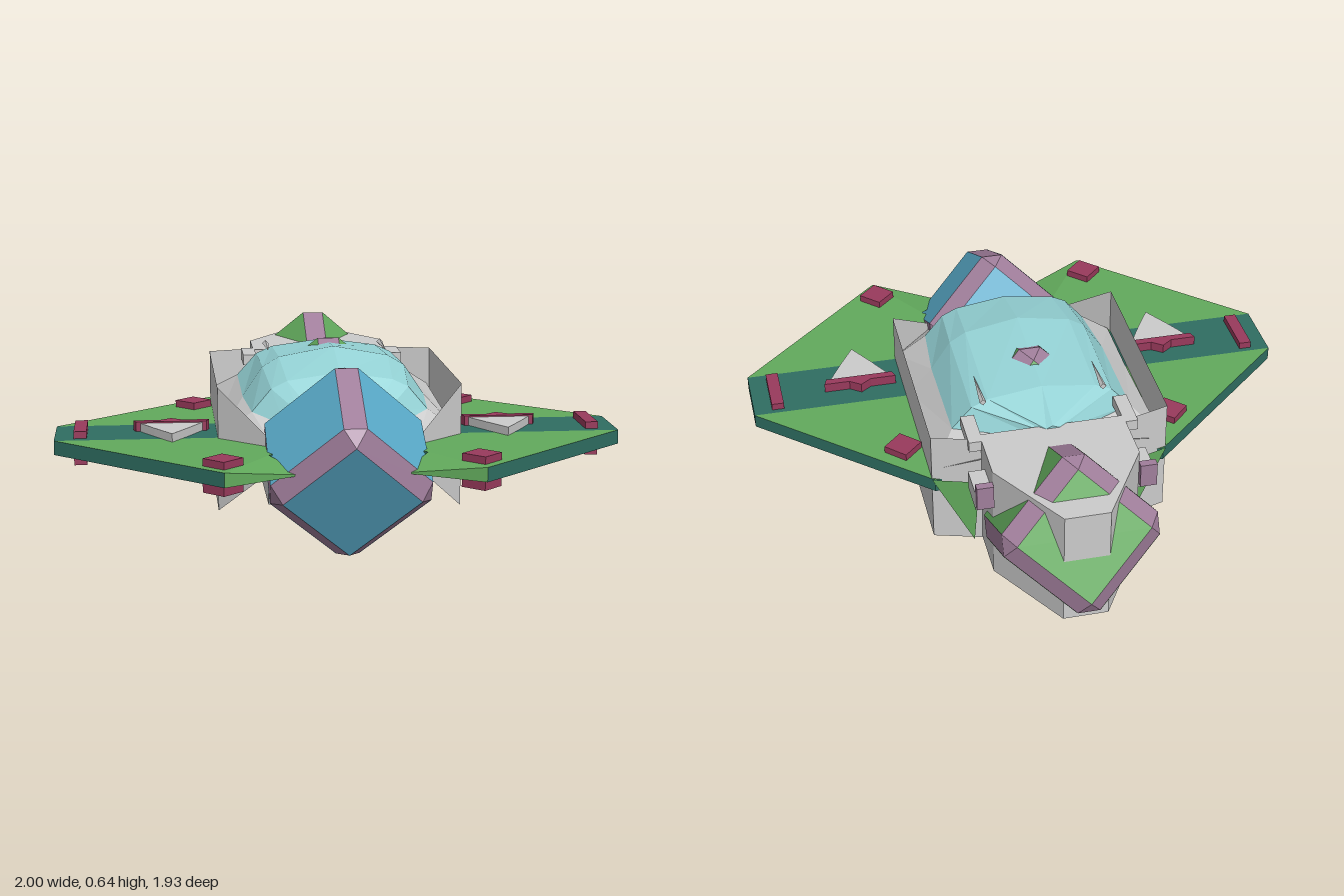
import * as THREE from 'three';
import { ConvexGeometry } from 'three/addons/geometries/ConvexGeometry.js';

const mat = (color) => new THREE.MeshStandardMaterial({ color, flatShading: true, side: THREE.DoubleSide });
const GREY = mat(0xcccccc), GREEN = mat(0x62aa5c), TEAL = mat(0x2f6e62), GLASS = mat(0x95d3d6);
const BLUE = mat(0x5aaccb), MAUVE = mat(0xa07e9b), PAD = mat(0x993a5c);

export function createModel() {
  const model = new THREE.Group();
  const add = (name, geometry, material, parent = model) => {
    const mesh = new THREE.Mesh(geometry, material);
    mesh.name = name;
    parent.add(mesh);
    return mesh;
  };

  // flat polygons, each a list of corners, split into fans
  const panels = (name, material, polys) => {
    const pos = [];
    for (const p of polys)
      for (let i = 1; i < p.length - 1; i++) pos.push(...p[0], ...p[i], ...p[i + 1]);
    const g = new THREE.BufferGeometry();
    g.setAttribute('position', new THREE.Float32BufferAttribute(pos, 3));
    g.computeVertexNormals();
    return add(name, g, material);
  };

  // horizontal slab from an x/z outline
  const slab = (name, outline, y0, y1, material) => {
    const shape = new THREE.Shape(outline.map(([x, z]) => new THREE.Vector2(x, -z)));
    const g = new THREE.ExtrudeGeometry(shape, { depth: y1 - y0, bevelEnabled: false });
    g.rotateX(-Math.PI / 2).translate(0, y0, 0);
    return add(name, g, material);
  };
  // half outline (x > 0) mirrored into a full one
  const mirrored = (half) => [...half, ...half.map(([x, z]) => [-x, z]).reverse()];
  const box = (name, size, at, material) => {
    const m = add(name, new THREE.BoxGeometry(...size), material);
    m.position.set(...at);
    return m;
  };

  // three tilted cubes with chamfered edges
  const crystal = (name, z, faceMaterial) => {
    const h = 0.22, i = h - 0.055, pts = [];
    for (const a of [-1, 1]) for (const b of [-1, 1]) for (const c of [-1, 1])
      for (const [x, y, w] of [[h, i, i], [i, h, i], [i, i, h]])
        pts.push(new THREE.Vector3(a * x, b * y, c * w));
    const g = new THREE.Group();
    g.name = name;
    add('chamferedEdges', new ConvexGeometry(pts), MAUVE, g);
    for (const [rx, ry] of [[0, 0], [0, 1], [0, 2], [0, 3], [1, 0], [-1, 0]]) {
      const face = new THREE.PlaneGeometry(2 * i, 2 * i).translate(0, 0, h + 0.001);
      face.rotateX(rx * Math.PI / 2).rotateY(ry * Math.PI / 2);
      add('crystalFace', face, faceMaterial, g);
    }
    g.position.set(0, 0.32, z);
    g.rotation.set(0.47, 0, Math.PI / 4);
    model.add(g);
  };
  crystal('frontCrystal', 0.66, BLUE);
  crystal('middleCrystal', 0, GREEN);
  crystal('rearCrystal', -0.66, GREEN);

  // wing: green panels either side of a dark band
  slab('rearWing', mirrored([[0.42, -0.36], [1, 0.17]]), 0.31, 0.36, [GREEN, TEAL]);
  slab('wingBand', mirrored([[1, 0.17], [1, 0.42]]), 0.31, 0.36, TEAL);
  slab('frontWing', mirrored([[1, 0.42], [0.43, 0.97], [0.27, 0.72], [0.15, 0.6]]), 0.31, 0.36, [GREEN, TEAL]);

  // tapered keel under the wing
  const R = 0.42;
  panels('keelBand', TEAL, [
    [[-R, 0.19, 0.18], [R, 0.19, 0.18], [R, 0.2, 0.36], [-R, 0.2, 0.36]],
    [[-R, 0.2, 0.36], [R, 0.2, 0.36], [R, 0.31, 0.43], [-R, 0.31, 0.43]],
    ...[1, -1].flatMap((s) => [
      [[s * R, 0.19, 0.18], [s, 0.31, 0.17], [s, 0.31, 0.42], [s * R, 0.2, 0.36]],
      [[s * R, 0.2, 0.36], [s, 0.31, 0.42], [s * R, 0.31, 0.43]],
    ]),
  ]);
  panels('keelRear', GREEN, [
    [[-R, 0.19, 0.18], [R, 0.19, 0.18], [R, 0.31, -0.36], [-R, 0.31, -0.36]],
    ...[1, -1].map((s) => [[s * R, 0.19, 0.18], [s, 0.31, 0.17], [s * R, 0.31, -0.36]]),
  ]);

  // canopy and its skirt, lofted along z: [z, half width, top, base]
  const sections = [
    [-0.39, 0.04, 0.55, 0.5], [-0.22, 0.33, 0.605, 0.47], [0.18, 0.33, 0.64, 0.46],
    [0.42, 0.31, 0.585, 0.45], [0.53, 0.2, 0.5, 0.42],
  ].map(([z, w, top, base]) => {
    const half = [[w, base], [w * 0.78, base + (top - base) * 0.6], [w * 0.6, top - (top - base) * 0.2]];
    return [...half, [0, top], ...half.map(([x, y]) => [-x, y]).reverse()].map(([x, y]) => [x, y, z]);
  });
  const glass = [sections[0], sections[4]];
  for (let k = 0; k < 4; k++)
    for (let j = 0; j < 6; j++)
      glass.push([sections[k][j], sections[k][j + 1], sections[k + 1][j + 1], sections[k + 1][j]]);
  panels('canopy', GLASS, glass);

  const rim = [[0.27, 0.46, -0.41], [R, 0.4, -0.35], [R, 0.37, 0.18], [R, 0.37, 0.43], [0.25, 0.37, 0.6]];
  const skirt = [];
  for (const s of [1, -1])
    for (let k = 0; k < 4; k++) {
      const edge = (n) => [s * sections[n][0][0], sections[n][0][1], sections[n][0][2]];
      const low = (n) => [s * rim[n][0], rim[n][1], rim[n][2]];
      skirt.push([edge(k), edge(k + 1), low(k + 1)], [edge(k), low(k + 1), low(k)]);
    }
  panels('canopySkirt', GREY, skirt);

  // belly plate around the middle crystal
  slab('bellyPlate', mirrored([[0.25, -0.16], [0.25, 0.36]]), 0.1, 0.2, GREY);

  // tail hull narrowing to the back
  slab('tailHull', mirrored([[0.26, -0.37], [0.26, -0.59], [0.08, -0.89]]), 0.1, 0.54, GREY);

  for (const s of [1, -1]) {
    // upright side walls with folded ends
    panels('hullWall', GREY, [
      [[s * 0.43, 0.1, -0.35], [s * 0.43, 0.1, 0.43], [s * 0.43, 0.54, 0.43], [s * 0.43, 0.54, -0.35]],
      [[s * 0.43, 0.1, 0.43], [s * 0.25, 0.28, 0.6], [s * 0.25, 0.38, 0.6], [s * 0.43, 0.54, 0.43]],
      [[s * 0.43, 0.1, -0.35], [s * 0.43, 0.54, -0.35], [s * 0.26, 0.54, -0.4], [s * 0.26, 0.1, -0.4]],
    ]);
    panels('rearGusset', GREEN, [[[s * 0.43, 0.36, -0.36], [s * 0.27, 0.36, -0.41], [s * 0.29, 0.1, -0.405]]]);
    panels('noseFlap', GREEN, [
      [[s * 0.43, 0.36, 0.97], [s * 0.27, 0.36, 0.72], [s * 0.16, 0.32, 0.85]],
      [[s * 0.43, 0.31, 0.97], [s * 0.27, 0.31, 0.72], [s * 0.16, 0.32, 0.85]],
      [[s * 0.43, 0.36, 0.97], [s * 0.43, 0.31, 0.97], [s * 0.16, 0.32, 0.85]],
    ]);

    // wing pads
    box('tipPad', [0.045, 0.12, 0.2], [s * 0.91, 0.325, 0.29], PAD);
    for (const [x, z] of [[0.5, -0.16], [0.43, 0.86]])
      box('diamondPad', [0.095, 0.115, 0.095], [s * x, 0.328, z], PAD).rotation.y = Math.PI / 4;

    // arrowhead fins with a coloured trailing edge
    const x = s * 0.59;
    slab('arrowFin', [[x - 0.11, 0.29], [x + 0.11, 0.29], [x + 0.06, 0.38], [x, 0.48], [x - 0.06, 0.38]], 0.36, 0.39, GREY);
    slab('finEdge', [[x - 0.135, 0.26], [x - 0.04, 0.26], [x, 0.23], [x + 0.04, 0.26],
      [x + 0.135, 0.26], [x + 0.125, 0.29], [x - 0.125, 0.29]], 0.36, 0.395, PAD);

    // side pods on the tail and struts to the canopy
    box('tailPod', [0.07, 0.07, 0.13], [s * 0.285, 0.42, -0.525], GREY);
    box('podCap', [0.06, 0.09, 0.03], [s * 0.29, 0.45, -0.6], MAUVE);
    box('canopyStrut', [0.05, 0.04, 0.16], [s * 0.28, 0.52, -0.33], GREY);

    // thin spike on the canopy
    const spike = add('canopySpike', new THREE.ConeGeometry(0.012, 0.17, 4), GREY);
    spike.position.set(s * 0.22, 0.585, -0.16);
    spike.rotation.x = Math.PI / 2;
  }
  return model;
}
